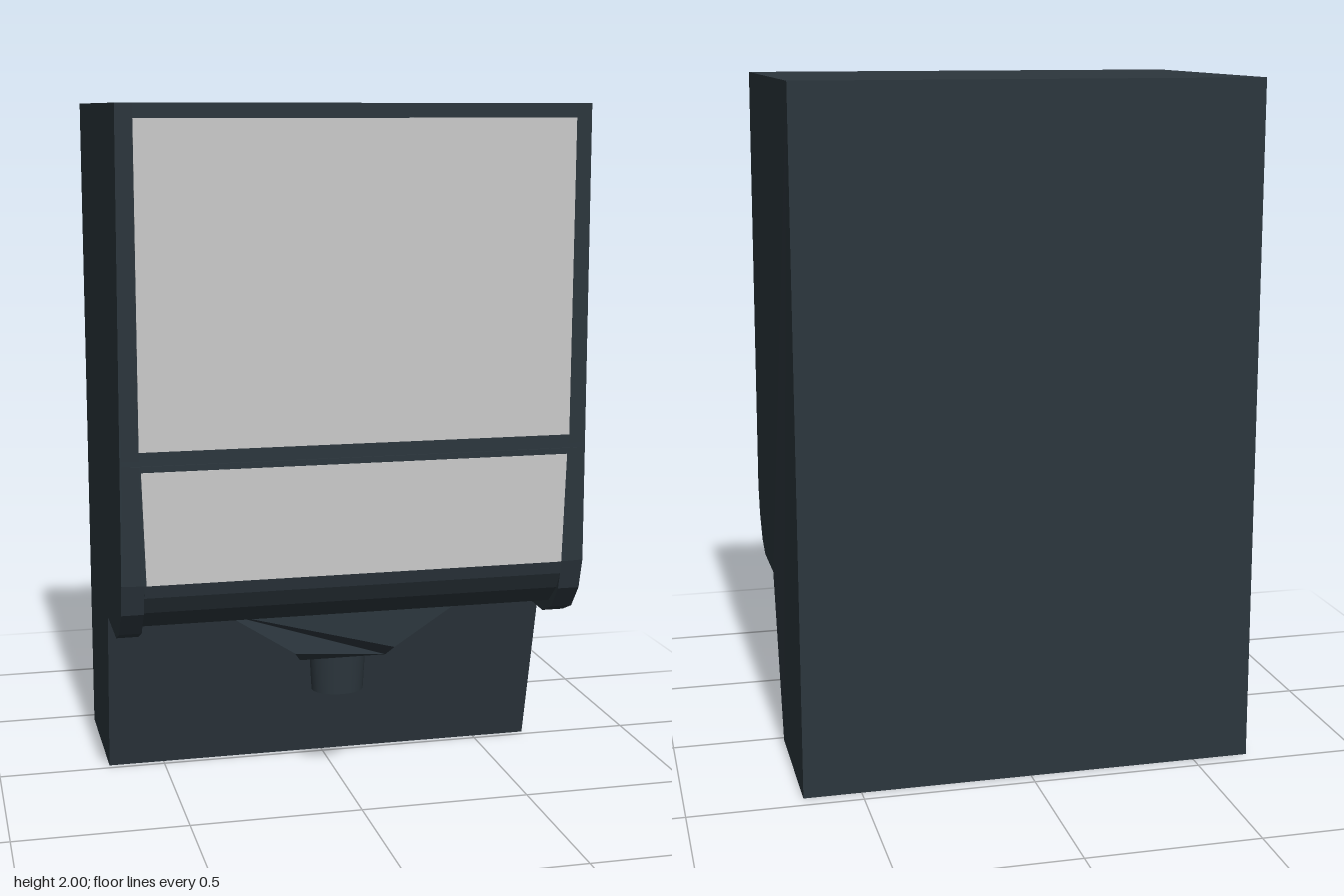
import * as THREE from 'three';

const dark = new THREE.MeshStandardMaterial({ color: 0x2c363d });
dark.name = 'charcoalPlastic';
const grey = new THREE.MeshStandardMaterial({ color: 0xcacaca });
grey.name = 'lightGreyPanel';

const shapeOf = (pts) => new THREE.Shape(pts.map(([a, b]) => new THREE.Vector2(a, b)));
const extrude = (pts, depth) =>
  new THREE.ExtrudeGeometry(shapeOf(pts), { depth, bevelEnabled: false });

// Move every vertex by a rule, then refresh the normals
function reshape(geo, rule) {
  const p = geo.attributes.position;
  const v = new THREE.Vector3();
  for (let i = 0; i < p.count; i++) {
    v.fromBufferAttribute(p, i);
    rule(v);
    p.setXYZ(i, v.x, v.y, v.z);
  }
  geo.computeVertexNormals();
  return geo;
}

// Extrude a side profile of [z, y] points from x0 to x1
function sideProfile(pts, x0, x1) {
  return extrude(pts, x1 - x0).rotateY(-Math.PI / 2).translate(x1, 0, 0);
}

export function createModel() {
  const group = new THREE.Group();
  const add = (name, geo, mat = dark) => {
    const mesh = new THREE.Mesh(geo, mat);
    mesh.name = name;
    group.add(mesh);
  };

  const back = [[-0.455, 2], [-0.455, 0], [-0.02, 0], [0.09, 0.505]];
  const W = 0.667, inner = 0.61;

  // Side cheeks with rounded lower lip, swelling slightly outwards
  const cheek = [...back, [0.3, 0.5], [0.37, 0.53], [0.425, 0.6], [0.45, 0.69], [0.45, 2]];
  for (const [name, x0, x1] of [['leftCheek', inner, W], ['rightCheek', -W, -inner]]) {
    add(name, reshape(sideProfile(cheek, x0, x1), (v) => {
      if (Math.abs(v.x) > 0.65 && v.y > 0.4 && v.y < 0.75) v.x = Math.sign(v.x) * 0.674;
    }));
  }

  // Centre of the housing, with a raised underside between the cheeks
  const core = [...back, [0.09, 0.545], [0.35, 0.545], [0.41, 0.6], [0.44, 0.65], [0.45, 0.69], [0.45, 2]];
  add('housing', sideProfile(core, -inner, inner));

  // Shallow front covers with sloped edges, split by a thin groove
  const cover = (y0, y1) =>
    extrude([[-W, -0.45], [W, -0.45], [0.62, -0.456], [-0.62, -0.456]].reverse(), y1 - y0)
      .rotateX(-Math.PI / 2).translate(0, y0, 0);
  add('upperCover', cover(1.04, 2));
  add('lowerCover', cover(0.69, 1.025));

  // Light panels
  const panel = (pts) => extrude(pts, 0.004).translate(0, 0, 0.455);
  add('upperPanel', panel([[-0.62, 1.065], [0.62, 1.065], [0.62, 1.96], [-0.62, 1.96]]), grey);
  add('lowerPanel', panel([[-0.605, 0.69], [0.605, 0.69], [0.615, 1.008], [-0.615, 1.008]]), grey);

  // Tapered funnel under the housing, its foot pulled in front and back
  const funnel = [[-0.36, 0.55], [-0.15, 0.415], [-0.13, 0.385], [0.13, 0.385], [0.15, 0.415], [0.36, 0.55]];
  add('funnel', reshape(extrude(funnel, 0.205).translate(0, 0, 0.09), (v) => {
    if (v.y < 0.4) v.z += v.z > 0.2 ? -0.03 : 0.03;
  }));

  // Outlet nozzle
  add('nozzle', new THREE.CylinderGeometry(0.085, 0.078, 0.12, 24)
    .scale(1, 1, 0.82).translate(0, 0.328, 0.193));

  return group;
}
